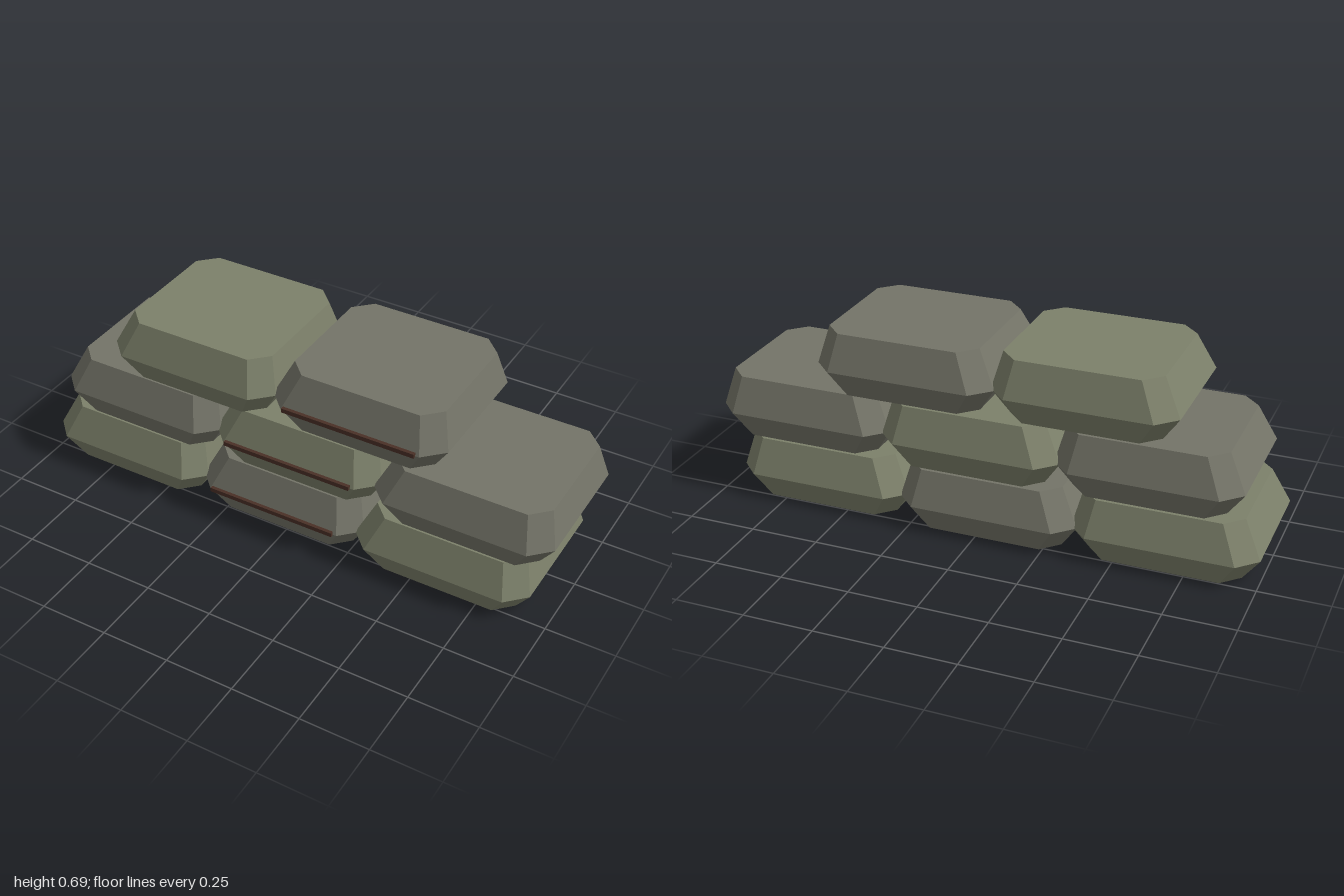
import * as THREE from 'three';

// One level of a bag: a rectangle with cut corners, counter-clockwise seen from above
function ring(y, x0, x1, z, c) {
  return [
    [x1, z - c], [x1, c - z], [x1 - c, -z], [x0 + c, -z],
    [x0, c - z], [x0, z - c], [x0 + c, z], [x1 - c, z],
  ].map(([px, pz]) => [px, y, pz]);
}

// Faceted bag: bottom, widest belt and slightly skewed top
function bagGeometry() {
  const levels = [
    ring(0, -0.265, 0.27, 0.253, 0.062),
    ring(0.095, -0.33, 0.33, 0.296, 0.07),
    ring(0.226, -0.265, 0.298, 0.253, 0.062),
  ];
  const pos = [];
  const tri = (a, b, c) => pos.push(...a, ...b, ...c);
  for (let k = 0; k < 2; k++) {
    const lo = levels[k], hi = levels[k + 1];
    for (let i = 0; i < 8; i++) {
      const j = (i + 1) % 8;
      tri(lo[i], lo[j], hi[j]);
      tri(lo[i], hi[j], hi[i]);
    }
  }
  // flat caps
  for (let i = 1; i < 7; i++) {
    tri(levels[2][0], levels[2][i], levels[2][i + 1]);
    tri(levels[0][0], levels[0][i + 1], levels[0][i]);
  }
  const geo = new THREE.BufferGeometry();
  geo.setAttribute('position', new THREE.Float32BufferAttribute(pos, 3));
  geo.computeVertexNormals();
  return geo;
}

export function createModel() {
  const model = new THREE.Group();
  model.name = 'sandbagWall';

  const cloths = [0x7c806a, 0x747468].map(
    (color) => new THREE.MeshStandardMaterial({ color, flatShading: true }));
  const seamMat = new THREE.MeshStandardMaterial({ color: 0x4a3026, flatShading: true });
  const bagGeo = bagGeometry();
  const seamGeo = new THREE.BoxGeometry(0.497, 0.016, 0.013);

  // Staggered courses, from the ground up
  const courses = [
    { y: 0, xs: [-0.67, -0.035, 0.6] },
    { y: 0.233, xs: [-0.605, 0.03, 0.668] },
    { y: 0.465, xs: [-0.375, 0.268] },
  ];
  courses.forEach(({ y, xs }, row) => xs.forEach((x, col) => {
    const bag = new THREE.Group();
    bag.name = `sandbag${row + 1}_${col + 1}`;
    bag.position.set(x, y, col % 2 ? -0.007 : 0.007);

    const body = new THREE.Mesh(bagGeo, cloths[(row + col) % 2]);
    body.name = 'bagBody';
    bag.add(body);

    // Stitched seam on the front of every second bag
    if (col === 1) {
      const seam = new THREE.Mesh(seamGeo, seamMat);
      seam.name = 'seam';
      seam.position.set(-0.003, 0.1, 0.301);
      bag.add(seam);
    }
    model.add(bag);
  }));
  return model;
}
